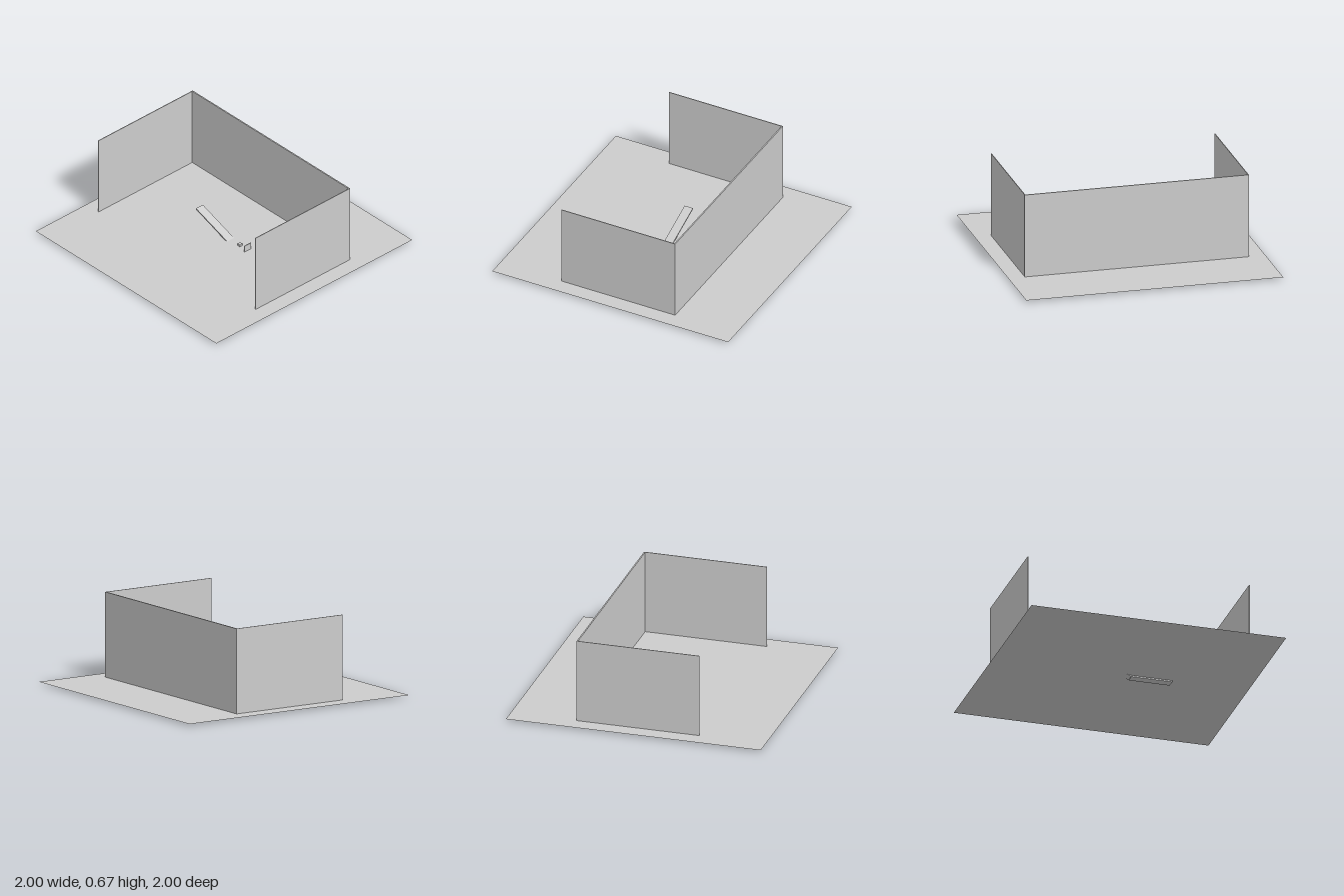
import * as THREE from 'three';

export function createModel() {
  const model = new THREE.Group();
  const grey = new THREE.MeshStandardMaterial({ color: 0xcccccc, side: THREE.DoubleSide });
  grey.name = 'light grey';

  const add = (name, geometry, x, y, z) => {
    const mesh = new THREE.Mesh(geometry, grey);
    mesh.name = name;
    mesh.position.set(x, y, z);
    model.add(mesh);
    return mesh;
  };
  const box = (name, w, h, d, x, y, z) => add(name, new THREE.BoxGeometry(w, h, d), x, y, z);

  // Infinitely thin ground sheet
  const floorY = 0.019;
  add('floor', new THREE.PlaneGeometry(2, 2).rotateX(-Math.PI / 2), 0, floorY, 0);

  // Three walls, open to the front
  const wallHeight = 0.652;
  const wallY = floorY + wallHeight / 2;
  box('backWall', 1.742, wallHeight, 0.01, 0, wallY, -0.479);
  for (const [name, side] of [['leftWall', 1], ['rightWall', -1]]) {
    box(name, 0.006, wallHeight, 0.962, side * 0.869, wallY, 0);
  }

  // Sloping ramp that dips through the floor onto a sunken track
  const ramp = box('ramp', 0.376, 0.01, 0.07, -0.097, 0.076, 0);
  ramp.rotation.z = -THREE.MathUtils.degToRad(20);
  box('track', 0.32, 0.01, 0.07, 0.24, 0.009, 0);

  // Small block and upright stop plate
  box('block', 0.026, 0.018, 0.026, 0.177, floorY + 0.009, 0);
  box('stopPlate', 0.006, 0.053, 0.07, 0.26, floorY + 0.0265, 0);

  return model;
}
